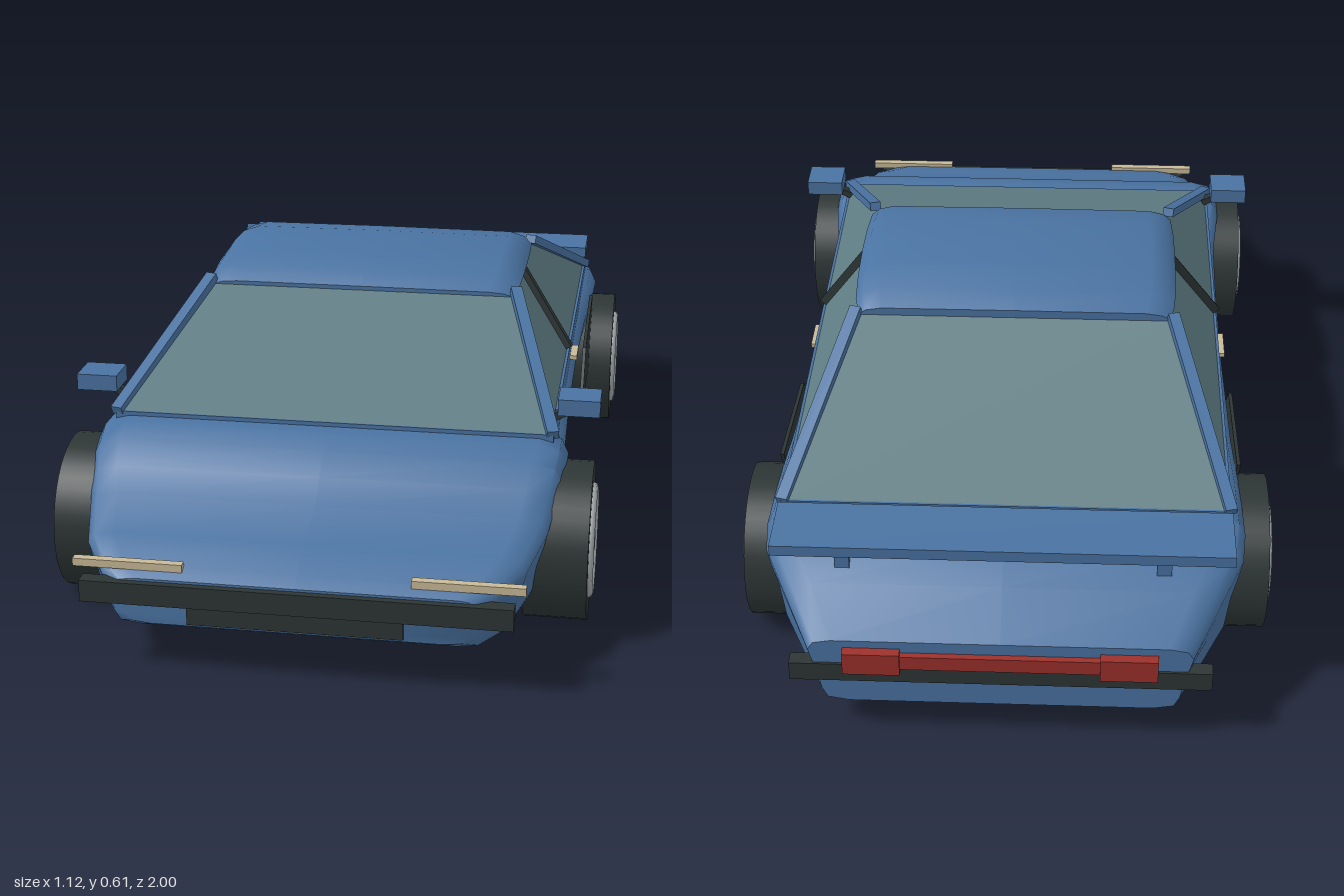
import * as THREE from 'three';
import { toCreasedNormals } from 'three/addons/utils/BufferGeometryUtils.js';

const mat = (name, color, side = THREE.FrontSide) => {
  const m = new THREE.MeshStandardMaterial({ color, side });
  m.name = name;
  return m;
};

// Skin a mirrored half-profile (fractions of width and height) over stations [z, halfWidth, yBottom, yTop]
function loft(stations, half, crease) {
  const ring = [...half, ...half.slice(1, -1).reverse().map(([x, y]) => [-x, y])];
  const n = ring.length, pos = [], idx = [];
  for (const [z, w, y0, y1] of stations)
    for (const [x, y] of ring) pos.push(x * w, y0 + y * (y1 - y0), z);
  for (let i = 0; i < stations.length - 1; i++)
    for (let j = 0; j < n; j++) {
      const k = (j + 1) % n, a = i * n + j, b = i * n + k;
      idx.push(a, a + n, b, b, a + n, b + n);
    }
  const last = (stations.length - 1) * n;
  for (let j = 1; j < n - 1; j++) {
    idx.push(0, j, j + 1);
    idx.push(last, last + j + 1, last + j);
  }
  const g = new THREE.BufferGeometry();
  g.setAttribute('position', new THREE.Float32BufferAttribute(pos, 3));
  g.setIndex(idx);
  return toCreasedNormals(g, crease);
}

// Flat four-cornered pane
function pane(a, b, c, d) {
  const g = new THREE.BufferGeometry();
  g.setAttribute('position', new THREE.Float32BufferAttribute([...a, ...b, ...c, ...d], 3));
  g.setIndex([0, 1, 2, 0, 2, 3]);
  g.computeVertexNormals();
  return g;
}

export function createModel() {
  const car = new THREE.Group();
  car.name = 'sportsCar';
  const paint = mat('bluePaint', 0x4a73a2);
  const glass = mat('tintedGlass', 0x5f7d84, THREE.DoubleSide);
  const trim = mat('darkTrim', 0x2d3535);
  const black = mat('blackUnderside', 0x181c1d);
  const silver = mat('silverRim', 0xa6abae);
  const cream = mat('creamLamp', 0xc8ba98);
  const red = mat('redLamp', 0x9c302b);

  const add = (name, geo, material, parent = car) => {
    const m = new THREE.Mesh(geo, material);
    m.name = name;
    parent.add(m);
    return m;
  };
  // Box given by its min and max on each axis
  const box = (name, material, [x0, x1], [y0, y1], [z0, z1]) => {
    const m = add(name, new THREE.BoxGeometry(x1 - x0, y1 - y0, z1 - z0), material);
    m.position.set((x0 + x1) / 2, (y0 + y1) / 2, (z0 + z1) / 2);
    return m;
  };
  const beam = (name, material, a, b, w, h) => {
    const p = new THREE.Vector3(...a), q = new THREE.Vector3(...b);
    const m = add(name, new THREE.BoxGeometry(w, h, p.distanceTo(q)), material);
    m.position.copy(p).add(q).multiplyScalar(0.5);
    m.lookAt(q);
    return m;
  };

  // Body shell
  const bodyProfile = [[0, 0], [0.8, 0], [0.91, 0.05], [0.94, 0.2], [0.96, 0.5],
    [0.985, 0.7], [1, 0.85], [0.97, 0.96], [0.88, 1], [0, 1]];
  add('body', loft([
    [0.985, 0.36, 0.1, 0.195], [0.96, 0.39, 0.085, 0.21], [0.88, 0.44, 0.08, 0.24],
    [0.76, 0.47, 0.08, 0.272], [0.71, 0.48, 0.08, 0.315], [0.66, 0.49, 0.08, 0.352],
    [0.6, 0.495, 0.08, 0.372], [0.53, 0.495, 0.08, 0.37], [0.47, 0.488, 0.08, 0.345],
    [0.42, 0.482, 0.08, 0.335], [0.2, 0.477, 0.08, 0.345], [-0.1, 0.476, 0.08, 0.357],
    [-0.4, 0.482, 0.08, 0.362], [-0.58, 0.492, 0.08, 0.368], [-0.72, 0.495, 0.08, 0.37],
    [-0.79, 0.488, 0.08, 0.357], [-0.88, 0.44, 0.08, 0.312], [-0.98, 0.385, 0.085, 0.25],
  ], bodyProfile, 0.9), paint);
  box('beltDeck', paint, [-0.465, 0.465], [0.3, 0.38], [-0.71, 0.57]);
  box('floorPan', black, [-0.34, 0.34], [0.055, 0.085], [-0.83, 0.85]);

  // Roof
  add('roof', loft([
    [0.17, 0.34, 0.545, 0.558], [0.13, 0.353, 0.545, 0.585], [0.05, 0.357, 0.547, 0.602],
    [-0.04, 0.358, 0.548, 0.609], [-0.14, 0.357, 0.547, 0.605], [-0.23, 0.353, 0.545, 0.592],
    [-0.275, 0.342, 0.545, 0.57],
  ], [[0, 0], [0.97, 0], [1, 0.35], [0.95, 0.75], [0.85, 0.97], [0, 1]], 0.9), paint);

  // Glass between belt and roof
  const base = 0.46, top = 0.343, yb = 0.378, yt = 0.553;
  const front = [0.57, 0.16], rear = [-0.71, -0.27];
  add('windshield', pane([-base, yb, front[0]], [base, yb, front[0]],
    [top, yt, front[1]], [-top, yt, front[1]]), glass);
  add('rearWindow', pane([base, yb, rear[0]], [-base, yb, rear[0]],
    [-top, yt, rear[1]], [top, yt, rear[1]]), glass);

  // Side air intake outline, in (z, y)
  const intake = new THREE.Shape([[-0.11, 0.18], [-0.21, 0.31], [-0.52, 0.35], [-0.45, 0.19]]
    .map(([z, y]) => new THREE.Vector2(-z, y)));

  for (const s of [1, -1]) {
    const side = s > 0 ? 'left' : 'right';
    add(side + 'SideWindow', pane([s * base, yb, front[0]], [s * base, yb, rear[0]],
      [s * top, yt, rear[1]], [s * top, yt, front[1]]), glass);
    for (const [name, [z0, z1]] of [['FrontPillar', front], ['RearPillar', rear]])
      beam(side + name, paint, [s * 0.463, 0.38, z0], [s * 0.348, 0.563, z1], 0.025, 0.02);
    beam(side + 'CentrePillar', trim, [s * 0.462, 0.383, 0.015], [s * 0.347, 0.555, -0.027], 0.012, 0.024);

    const vent = add(side + 'Intake',
      new THREE.ExtrudeGeometry(intake, { depth: 0.008, bevelEnabled: false }), trim);
    vent.rotation.y = Math.PI / 2;
    vent.position.x = s * 0.491 - 0.004;

    // Door handle, mirror, headlamp, tail lamp and spoiler strut
    const xs = (a, b) => (s > 0 ? [a, b] : [-b, -a]);
    box(side + 'DoorHandle', cream, xs(0.465, 0.481), [0.339, 0.349], [-0.11, -0.03]);
    box(side + 'Mirror', paint, xs(0.47, 0.557), [0.412, 0.447], [0.46, 0.54]);
    beam(side + 'MirrorStalk', trim, [s * 0.44, 0.385, 0.5], [s * 0.5, 0.416, 0.5], 0.02, 0.016);
    box(side + 'Headlamp', cream, xs(0.225, 0.445), [0.206, 0.222], [0.952, 0.97]);
    box(side + 'TailLamp', red, xs(0.2, 0.315), [0.178, 0.232], [-1, -0.97]);
    box(side + 'SpoilerStrut', paint, xs(0.31, 0.34), [0.32, 0.387], [-0.85, -0.78]);
  }
  box('tailLampBar', red, [-0.2, 0.2], [0.188, 0.222], [-0.993, -0.97]);
  box('spoiler', paint, [-0.463, 0.463], [0.386, 0.411], [-0.885, -0.75]);

  // Bumpers and lower grille
  box('frontBumper', trim, [-0.425, 0.425], [0.145, 0.19], [0.968, 1]);
  box('rearBumper', trim, [-0.425, 0.425], [0.145, 0.19], [-0.985, -0.955]);
  box('lowerGrille', trim, [-0.213, 0.213], [0.106, 0.146], [0.97, 0.992]);

  // Wheels, modelled facing +z and turned outward
  const tyreGeo = new THREE.CylinderGeometry(0.165, 0.165, 0.13, 40).rotateX(Math.PI / 2);
  const rimGeo = new THREE.TorusGeometry(0.11, 0.01, 8, 40);
  const spokeGeo = new THREE.BoxGeometry(0.016, 0.1, 0.012).translate(0, 0.055, 0);
  const hubGeo = new THREE.CylinderGeometry(0.022, 0.022, 0.018, 20).rotateX(Math.PI / 2);
  for (const s of [1, -1])
    for (const [name, z] of [['Front', 0.6], ['Rear', -0.58]]) {
      const wheel = new THREE.Group();
      wheel.name = (s > 0 ? 'left' : 'right') + name + 'Wheel';
      add('tyre', tyreGeo, trim, wheel);
      add('rim', rimGeo, silver, wheel).position.z = 0.065;
      add('hub', hubGeo, silver, wheel).position.z = 0.064;
      for (let i = 0; i < 5; i++) {
        const spoke = add('spoke', spokeGeo, silver, wheel);
        spoke.position.z = 0.065;
        spoke.rotation.z = (i * Math.PI * 2) / 5;
      }
      wheel.rotation.y = (s * Math.PI) / 2;
      wheel.position.set(s * 0.486, 0.165, z);
      car.add(wheel);
    }
  return car;
}
